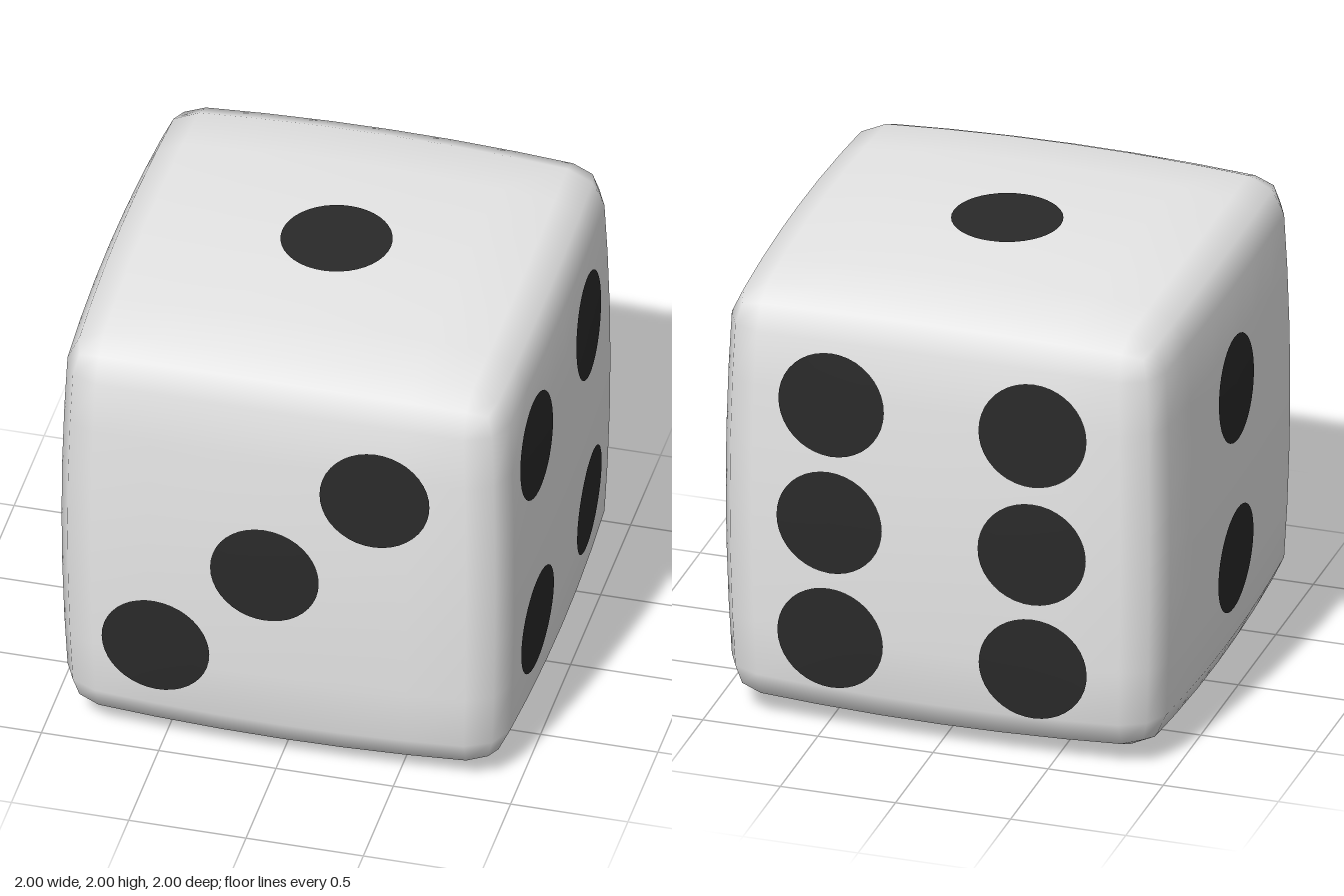
import * as THREE from 'three';
import { mergeVertices } from 'three/addons/utils/BufferGeometryUtils.js';

const ROUND = 0.16;   // edge radius
const BULGE = 0.045;  // how far the faces swell towards their middle
const PIP_R = 0.232;

// Share of full height left on a face at offsets a, b from its middle
const swell = (a, b) => 1 - BULGE * (a * a + b * b) + 0.02 * a * a * b * b;

// Cube with rounded edges and softly swollen faces
function bodyGeometry() {
  const lines = [0, 0.28, 0.58, 1 - ROUND, 1];
  let geo = new THREE.BoxGeometry(2, 2, 2, 8, 8, 8);
  geo.deleteAttribute('uv');
  geo.deleteAttribute('normal');
  geo.clearGroups();
  geo = mergeVertices(geo);
  const pos = geo.attributes.position;
  const p = new THREE.Vector3(), inner = new THREE.Vector3();
  const regrid = (v) => Math.sign(v) * lines[Math.round(Math.abs(v) * 4)];
  for (let i = 0; i < pos.count; i++) {
    p.fromBufferAttribute(pos, i);
    p.set(regrid(p.x), regrid(p.y), regrid(p.z));
    inner.copy(p).clampScalar(-(1 - ROUND), 1 - ROUND);
    p.sub(inner).normalize().multiplyScalar(ROUND).add(inner);
    pos.setXYZ(i, p.x * swell(p.y, p.z), p.y * swell(p.x, p.z), p.z * swell(p.x, p.y));
  }
  geo.scale(0.997, 0.997, 0.997);
  geo.computeVertexNormals();
  return geo;
}

// Thin disc that follows the swollen face, lying in local x/y and facing +z
function pipGeometry(cx, cy) {
  const geo = new THREE.RingGeometry(0, PIP_R, 40, 4);
  const pos = geo.attributes.position;
  for (let i = 0; i < pos.count; i++) {
    const x = pos.getX(i) + cx, y = pos.getY(i) + cy;
    pos.setXYZ(i, x, y, swell(x / 0.96, y / 0.96) + 0.001);
  }
  geo.computeVertexNormals();
  return geo;
}

export function createModel() {
  const ivory = new THREE.MeshStandardMaterial({ color: 0xe7e7e7 });
  ivory.name = 'off white';
  const black = new THREE.MeshStandardMaterial({ color: 0x2a2a2a });
  black.name = 'soft black';

  const model = new THREE.Group();
  model.name = 'die';
  const body = new THREE.Mesh(bodyGeometry(), ivory);
  body.name = 'body';
  model.add(body);

  // Each face: turn about x, turn about y, pip centres in the face's own plane
  const q = Math.PI / 2;
  const faces = [
    ['topPips', -q, 0, [[0, 0.01]]],
    ['rightFacePips', 0, -q, [[0, 0.36], [0, -0.42]]],
    ['frontPips', 0, 0, [[0.415, 0.435], [-0.05, -0.02], [-0.52, -0.48]]],
    ['leftFacePips', 0, q, [[-0.48, 0.465], [0.375, 0.47], [-0.47, -0.435], [0.38, -0.43]]],
    ['bottomPips', q, 0, [[0.48, -0.47], [0.48, 0.435], [0, -0.01], [-0.41, -0.495], [-0.38, 0.425]]],
    ['backPips', 0, 2 * q, [[-0.45, 0.515], [-0.455, -0.02], [-0.455, -0.555],
      [0.425, 0.505], [0.425, -0.035], [0.425, -0.565]]],
  ];
  for (const [name, rx, ry, centres] of faces) {
    const face = new THREE.Group();
    face.name = name;
    face.rotation.set(rx, ry, 0);
    for (const [x, y] of centres) {
      const pip = new THREE.Mesh(pipGeometry(x, y), black);
      pip.name = 'pip';
      face.add(pip);
    }
    model.add(face);
  }

  for (const part of model.children) part.position.y = 1;
  return model;
}
